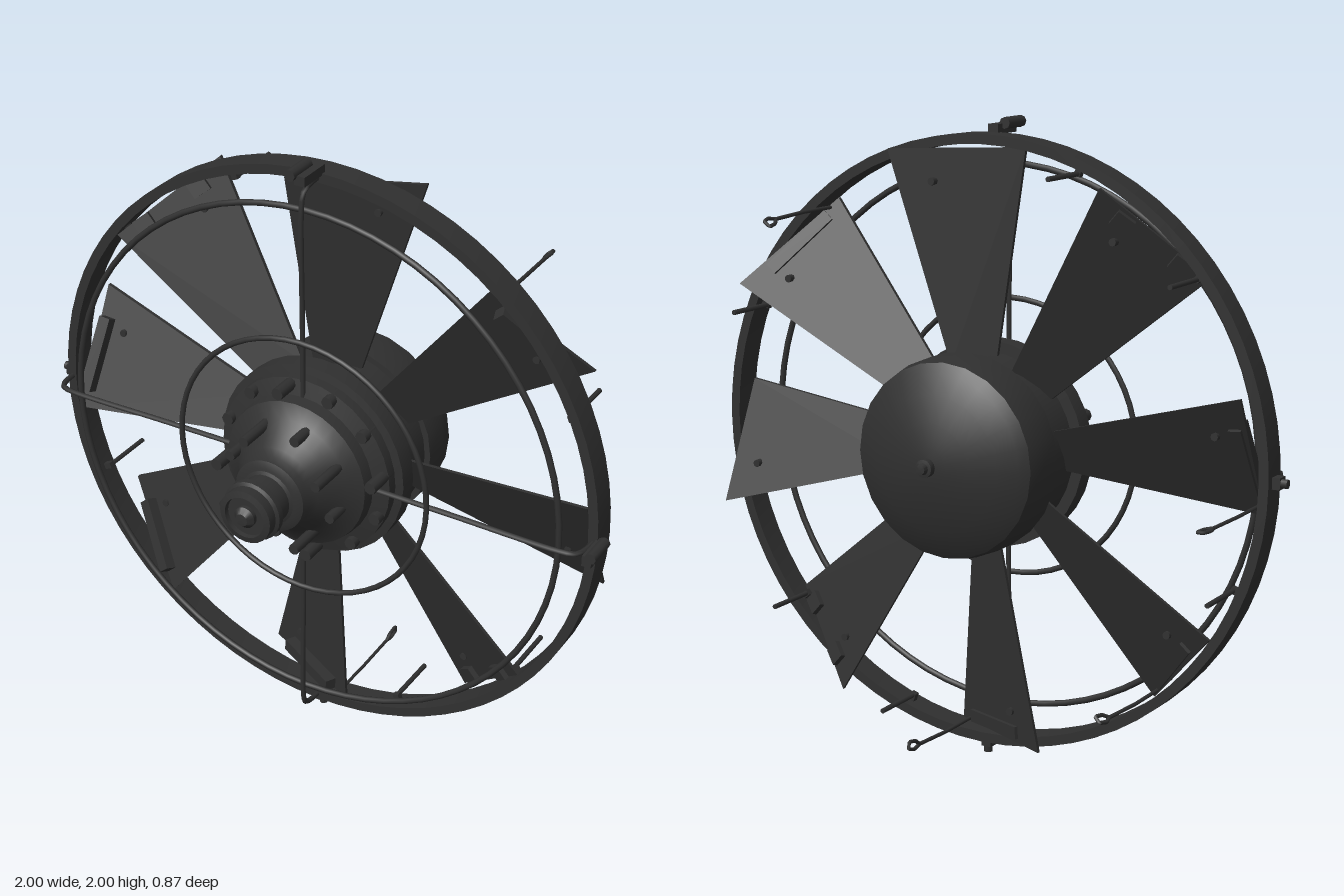
import * as THREE from 'three';
import { toCreasedNormals } from 'three/addons/utils/BufferGeometryUtils.js';

const metal = new THREE.MeshStandardMaterial({ color: 0x303030 });
metal.name = 'dark metal';

const RAD = Math.PI / 180;
const V = (x, y, z) => new THREE.Vector3(x, y, z);

function add(parent, name, geometry, x = 0, y = 0, z = 0) {
  const mesh = new THREE.Mesh(geometry, metal);
  mesh.name = name;
  mesh.position.set(x, y, z);
  parent.add(mesh);
  return mesh;
}

// Turned solid along z, profile given as [radius, z] from back to front
function turned(profile, sides = 32) {
  const g = new THREE.LatheGeometry(profile.map(([r, z]) => new THREE.Vector2(r, z)), sides);
  return toCreasedNormals(g.rotateX(Math.PI / 2), 0.6);
}

// Cylinder along z between two depths
function pin(parent, name, r, x, y, z0, z1, sides = 8) {
  const g = new THREE.CylinderGeometry(r, r, Math.abs(z1 - z0), sides).rotateX(Math.PI / 2);
  return add(parent, name, g, x, y, (z0 + z1) / 2);
}

// Group turned about the axle so its local +x points outward
function spoke(parent, name, degrees) {
  const g = new THREE.Group();
  g.name = name;
  g.rotation.z = degrees * RAD;
  parent.add(g);
  return g;
}

// Straight-legged wire through a few points
function wire(points, radius) {
  const path = new THREE.CurvePath();
  for (let i = 1; i < points.length; i++) path.add(new THREE.LineCurve3(points[i - 1], points[i]));
  return new THREE.TubeGeometry(path, points.length * 8, radius, 6);
}

// Tapered flat blade, sheared along its chord to give it pitch
function bladeGeometry() {
  const s = new THREE.Shape();
  s.moveTo(0.26, -0.065);
  s.lineTo(0.925, -0.2);
  s.lineTo(0.905, 0.175);
  s.lineTo(0.26, 0.06);
  const g = new THREE.ExtrudeGeometry(s, { depth: 0.012, bevelEnabled: false });
  const p = g.attributes.position;
  for (let i = 0; i < p.count; i++) p.setZ(i, p.getZ(i) - 0.096 + 0.48 * p.getY(i));
  g.computeVertexNormals();
  return g;
}

export function createModel() {
  const model = new THREE.Group();
  model.name = 'fan';
  const fan = new THREE.Group();
  fan.name = 'fanAssembly';
  fan.position.y = 1;
  model.add(fan);

  // Outer hoop
  add(fan, 'outerRing', turned(
    [[0.925, -0.085], [0.956, -0.085], [0.956, 0], [0.925, 0], [0.925, -0.085]], 72));

  // Wire guard
  add(fan, 'largeGuardRing', new THREE.TorusGeometry(0.86, 0.01, 8, 72), 0, 0, 0.06);
  add(fan, 'smallGuardRing', new THREE.TorusGeometry(0.44, 0.009, 8, 56), 0, 0, 0.095);
  for (let i = 0; i < 4; i++) {
    const arm = spoke(fan, 'guardArm', i * 90);
    const path = new THREE.CatmullRomCurve3([
      V(0.24, 0, 0.08), V(0.5, 0, 0.082), V(0.88, 0, 0.085), V(0.92, 0, 0.075), V(0.935, 0, 0.045), V(0.94, 0, -0.02)]);
    add(arm, 'guardRod', new THREE.TubeGeometry(path, 32, 0.009, 6));
    // Ring clamps, long at the right and top, short on the other two
    if (i < 2) {
      add(arm, 'clamp', new THREE.BoxGeometry(0.03, 0.035, 0.11), 0.965, 0, 0.04);
      pin(arm, 'clampScrew', 0.018, 0.982, 0.025, 0.01, 0.11);
    } else {
      add(arm, 'clamp', new THREE.BoxGeometry(0.03, 0.035, 0.04), 0.965, 0, -0.04);
      add(arm, 'clampScrew', new THREE.CylinderGeometry(0.014, 0.014, 0.035, 8).rotateZ(Math.PI / 2), 0.982, 0, -0.045);
    }
  }

  // Rear dome with its centre nub
  add(fan, 'rearDome', turned([[0, -0.18], [0.29, -0.18], [0.29, -0.02], [0, -0.02]]));
  add(fan, 'domeShell', turned([
    [0, -0.4], [0.06, -0.395], [0.13, -0.38], [0.21, -0.353], [0.27, -0.325], [0.3, -0.305],
    [0.31, -0.25], [0.31, -0.165], [0, -0.165]], 24));
  add(fan, 'domeNub', turned([
    [0, -0.437], [0.015, -0.435], [0.018, -0.42], [0.028, -0.418], [0.028, -0.395], [0.02, -0.38]], 12));

  // Stepped front casing
  add(fan, 'frontCasing', turned([
    [0.29, -0.03], [0.325, -0.03], [0.325, 0.03], [0.3, 0.035], [0.3, 0.07], [0.25, 0.085],
    [0.245, 0.125], [0.2, 0.15], [0.165, 0.19], [0.14, 0.225], [0.125, 0.25], [0.12, 0.275], [0.098, 0.285], [0, 0.285]]));
  add(fan, 'nose', turned([
    [0.1, 0.28], [0.08, 0.29], [0.08, 0.345], [0.098, 0.352], [0.098, 0.372], [0.088, 0.378],
    [0.088, 0.41], [0.068, 0.415], [0.066, 0.4], [0.035, 0.4], [0.035, 0.413], [0.02, 0.43], [0, 0.432]], 24));

  // Casing bolts in two circles
  for (let i = 0; i < 12; i++) {
    const a = (i * 30 + 10) * RAD;
    pin(fan, 'rimBolt', 0.02, 0.28 * Math.cos(a), 0.28 * Math.sin(a), 0.03, i % 3 ? 0.1 : 0.15);
  }
  for (let i = 0; i < 8; i++) {
    const a = (i * 45 + 28) * RAD;
    pin(fan, 'innerBolt', 0.017, 0.185 * Math.cos(a), 0.185 * Math.sin(a), 0.1, i % 2 ? 0.22 : 0.28);
  }

  // Blades; some carry a tip shoe, and four of those a rear wire hook
  const blade = bladeGeometry();
  const pitch = Math.atan(0.48);
  const hooked = [1, 4, 5, 6];
  const clipped = [3, 7];
  for (let i = 0; i < 8; i++) {
    const g = spoke(fan, 'bladeAssembly', 86 - i * 45);
    add(g, 'blade', blade);
    pin(g, 'bladeRivet', 0.012, 0.82, -0.08, -0.15, -0.115);
    if (hooked.includes(i)) {
      add(g, 'tipShoe', new THREE.BoxGeometry(0.04, 0.25, 0.06), 0.885, 0, -0.075).rotation.x = pitch;
      add(g, 'hookWire', wire([
        V(0.9, 0.14, -0.03), V(0.9, 0.14, -0.18), V(0.892, 0.14, -0.33), V(0.875, 0.14, -0.35),
        V(0.868, 0.14, -0.385), V(0.89, 0.14, -0.39), V(0.9, 0.14, -0.36), V(0.892, 0.14, -0.33)], 0.006));
    } else if (clipped.includes(i)) {
      for (const y of [-0.1, 0.09])
        add(g, 'tipClip', new THREE.BoxGeometry(0.05, 0.06, 0.045), 0.885, y, -0.09 + 0.48 * y).rotation.x = pitch;
    }
  }

  // Small pins standing off the back of the hoop
  for (const degrees of [24, 110, 141, -158, -72, -40]) {
    const g = spoke(fan, 'ringPin', degrees);
    pin(g, 'pinShaft', 0.008, 0.905, 0, -0.04, -0.23);
    add(g, 'pinFoot', new THREE.BoxGeometry(0.035, 0.02, 0.02), 0.915, 0, -0.045);
  }

  return model;
}
